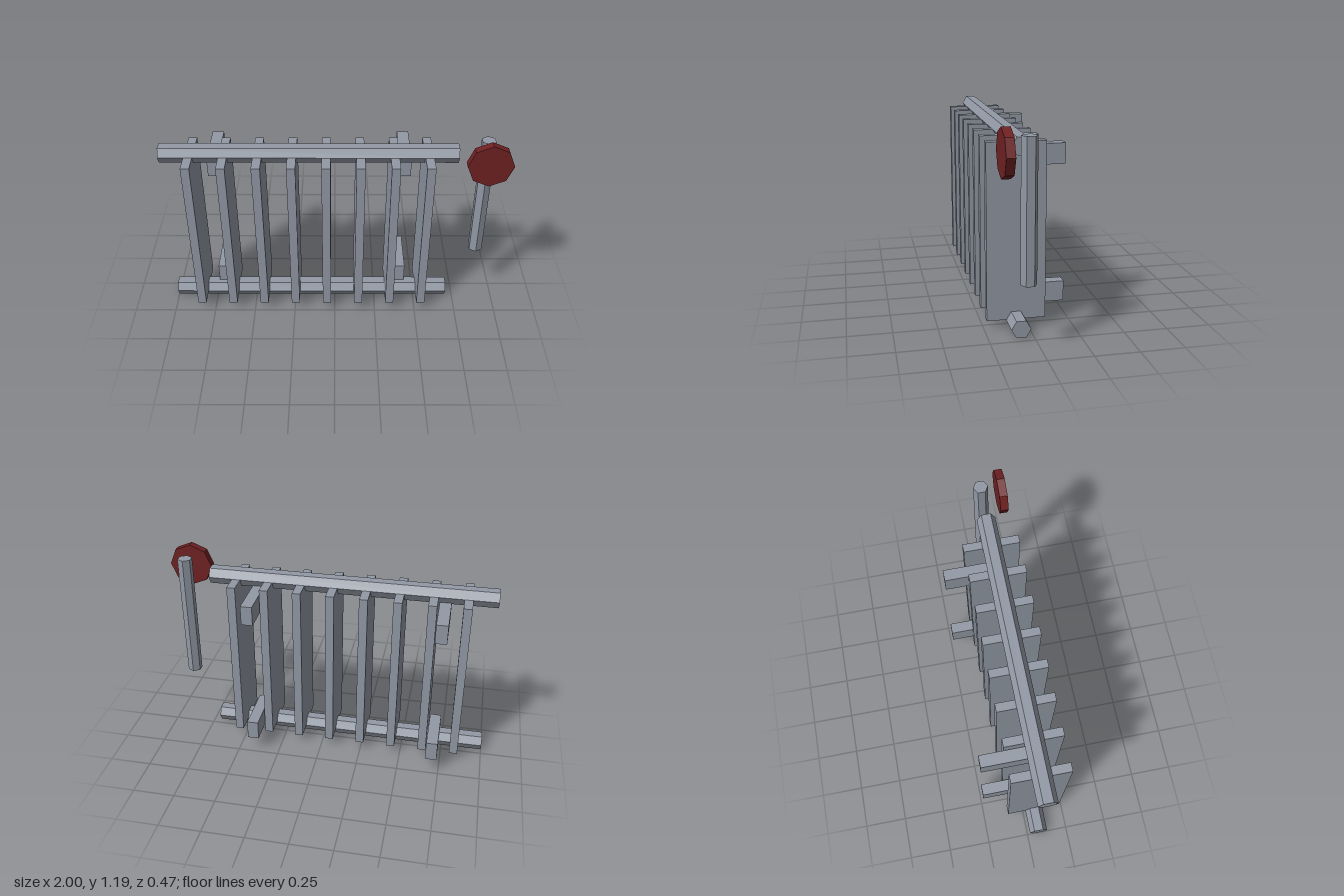
import * as THREE from 'three';

export function createModel() {
  const model = new THREE.Group();
  const mat = (name, color) => {
    const m = new THREE.MeshStandardMaterial({ color, flatShading: true });
    m.name = name;
    return m;
  };
  const steel = mat('greySteel', 0x9299a5);
  const red = mat('darkRed', 0x702123);

  const add = (name, geometry, material, x, y, z) => {
    const mesh = new THREE.Mesh(geometry, material);
    mesh.name = name;
    mesh.position.set(x, y, z);
    model.add(mesh);
    return mesh;
  };

  const pipeZ = 0.07;

  // Horizontal hexagonal pipes, bottom and top
  const pipe = new THREE.CylinderGeometry(0.055, 0.055, 1.705, 6).rotateZ(Math.PI / 2);
  add('lowerPipe', pipe, steel, -0.1475, 0.048, pipeZ);
  add('upperPipe', pipe, steel, -0.1475, 1.056, pipeZ);

  // Eight upright fins
  const fin = new THREE.BoxGeometry(0.05, 1.006, 0.332);
  for (let i = 0; i < 8; i++) add('fin', fin, steel, -0.83 + i * 0.1953, 0.553, pipeZ - 0.001);

  // Four wall brackets reaching back from the pipes
  const bracket = new THREE.BoxGeometry(0.068, 0.118, 0.305);
  for (const x of [-0.701, 0.407])
    for (const y of [0.15, 0.956]) add('wallBracket', bracket, steel, x, y, pipeZ - 0.1525);

  // Valve stem and octagonal hand wheel
  add('valveStem', new THREE.CylinderGeometry(0.044, 0.044, 0.773, 6), steel, 0.868, 0.754, pipeZ);
  const wheel = new THREE.CylinderGeometry(0.131, 0.131, 0.048, 8).rotateX(Math.PI / 2);
  add('valveWheel', wheel, red, 0.868, 1.056, 0.189);

  return model;
}
